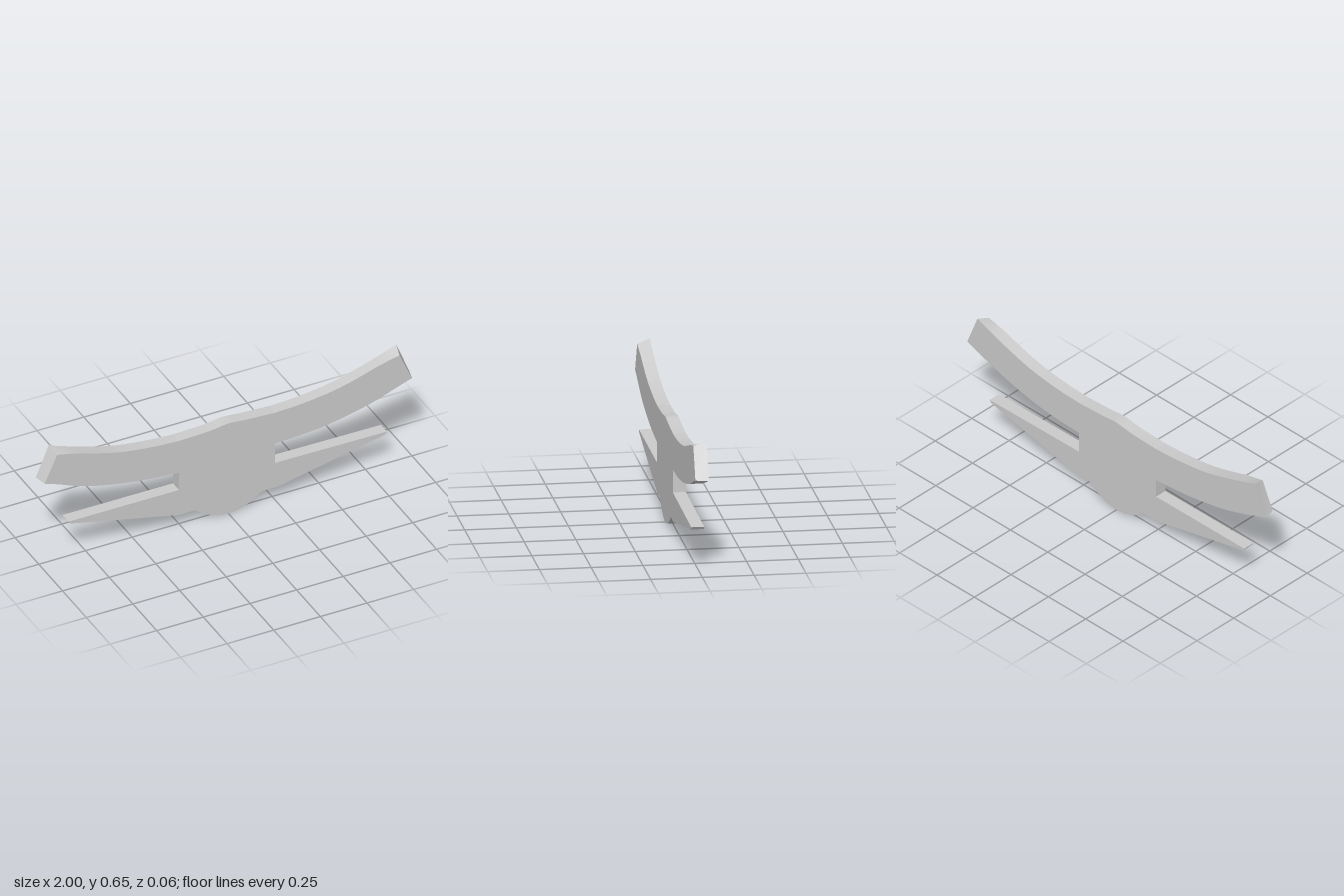
import * as THREE from 'three';
import { toCreasedNormals } from 'three/addons/utils/BufferGeometryUtils.js';

const DEPTH = 0.063;
const material = new THREE.MeshStandardMaterial({ color: 0xcccccc });
const clamp = THREE.MathUtils.clamp;

// Outline from a list of runs: two points make a straight edge, more make a smooth curve.
function outline(runs) {
  const shape = new THREE.Shape();
  shape.moveTo(...runs[0][0]);
  for (const run of runs) {
    const pts = run.map(([x, y]) => new THREE.Vector2(x, y));
    if (pts.length === 2) shape.lineTo(pts[1].x, pts[1].y);
    else shape.splineThru(pts.slice(1));
  }
  return shape;
}

// Flat plate of the common thickness, centred on z = 0.
function plate(name, runs, reshape) {
  const geometry = new THREE.ExtrudeGeometry(outline(runs), {
    depth: DEPTH, bevelEnabled: false, curveSegments: 5,
  });
  geometry.translate(0, 0, -DEPTH / 2);
  if (reshape) {
    const p = geometry.attributes.position;
    for (let i = 0; i < p.count; i++) {
      const [x, y] = reshape(p.getX(i), p.getY(i), p.getZ(i));
      p.setXY(i, x, y);
    }
  }
  const mesh = new THREE.Mesh(toCreasedNormals(geometry, 0.6), material);
  mesh.name = name;
  return mesh;
}

// The front edge of each arm end is cut back a little.
function slantEnd(x, y, z) {
  if (z < 0) return [x, y];
  const t = clamp((Math.abs(x) - 0.8) / 0.13, 0, 1);
  const high = clamp((y - 0.47) / 0.17, 0, 1);
  return [x - Math.sign(x) * 0.015 * t, y - 0.02 * t * high];
}

export function createModel() {
  const group = new THREE.Group();

  // The two sides differ slightly in slot position and fin height.
  const sides = [
    { name: 'left', s: 1, slot: 0.25, finTop: 0.215, tipX: 0.85, tipY: 0.208, endY: 0.477, base: 0.327 },
    { name: 'right', s: -1, slot: 0.265, finTop: 0.22, tipX: 0.857, tipY: 0.222, endY: 0.485, base: 0.32 },
  ];
  const [l, r] = sides;

  // Central body with a peaked top and a rounded bottom
  group.add(plate('body', [
    [[-r.slot, 0.075], [-0.18, 0.075]],
    [[-0.18, 0.075], [-0.12, 0.033], [-0.055, 0.008], [0, 0], [0.055, 0.006], [0.12, 0.033], [0.18, 0.073]],
    [[0.18, 0.073], [l.slot, 0.073]],
    [[l.slot, 0.073], [l.slot, 0.507]],
    [[l.slot, 0.507], [0.1, 0.515], [0, 0.523], [-0.1, 0.511], [-r.slot, 0.505]],
    [[-r.slot, 0.505], [-r.slot, 0.075]],
  ]));

  for (const { name, s, slot, finTop, tipX, tipY, endY, base } of sides) {
    const m = (runs) => runs.map((run) => run.map(([x, y]) => [s * x, y]));
    const top = s > 0 ? 0.507 : 0.505;
    const foot = s > 0 ? 0.073 : 0.075;

    // Upper arm sweeping upwards to a square-cut end
    group.add(plate(name + 'Arm', m([
      [[slot, base], [0.5, 0.343], [0.75, 0.395], [1, endY]],
      [[1, endY], [0.932, 0.65]],
      [[0.932, 0.65], [0.75, 0.586], [0.58, 0.539], [0.4, 0.514], [slot, top]],
      [[slot, top], [slot, base]],
    ]), slantEnd));

    // Lower fin tapering to a narrow blunt tip
    group.add(plate(name + 'Fin', m([
      [[slot, foot], [0.27, foot]],
      [[0.27, foot], [tipX - 0.01, tipY - 0.014]],
      [[tipX - 0.01, tipY - 0.014], [tipX, tipY]],
      [[tipX, tipY], [slot, finTop]],
      [[slot, finTop], [slot, foot]],
    ])));
  }
  return group;
}
